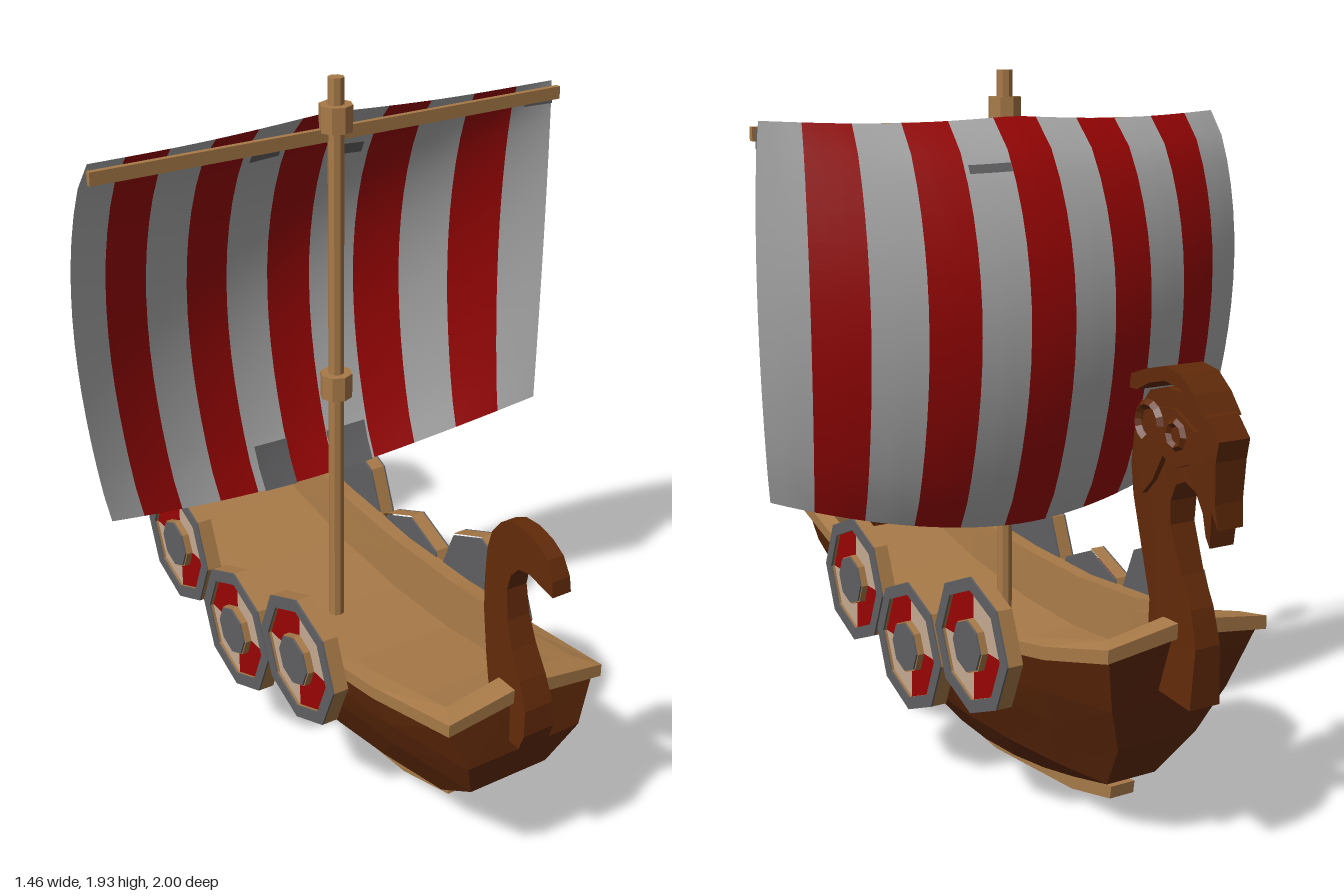
import * as THREE from 'three';

const mat = (name, color, extra = {}) => {
  const m = new THREE.MeshStandardMaterial({ color, ...extra });
  m.name = name;
  return m;
};

// Flat normals on every face
function flat(geo) {
  const g = geo.index ? geo.toNonIndexed() : geo;
  g.computeVertexNormals();
  return g;
}

// Side outline of [z, y] points, extruded across x with half-width hw(y)
function profile(points, hw) {
  const shape = new THREE.Shape(points.map(([z, y]) => new THREE.Vector2(z, y)));
  const g = new THREE.ExtrudeGeometry(shape, { depth: 2, bevelEnabled: false });
  g.translate(0, 0, -1).rotateY(-Math.PI / 2);
  const p = g.attributes.position;
  for (let i = 0; i < p.count; i++) p.setX(i, p.getX(i) * hw(p.getY(i)));
  return flat(g);
}

// Closed horizontal hull ring: widths, end positions and sheer heights
function ring({ w, we, zf, zb, yf, ym, yb, peak = 0 }) {
  const side = [1, 0.66, 0.3, -0.05, -0.4, -0.72, -1].map((s) => {
    const k = s * s;
    const ye = s > 0 ? yf : yb;
    return [w + (we - w) * k, ym + (ye - ym) * k, (zf + zb) / 2 + (s * (zf - zb)) / 2];
  });
  const mirrored = side.map(([x, y, z]) => [-x, y, z]).reverse();
  return [...side, [0, yb + peak, zb], ...mirrored, [0, yf + peak, zf]];
}

// Faces between successive rings, where keep(band, column) allows
function loft(rings, keep = () => true) {
  const pos = [];
  for (let r = 0; r < rings.length - 1; r++) {
    const [a, b] = [rings[r], rings[r + 1]];
    a.forEach((p, i) => {
      if (!keep(r, i)) return;
      const j = (i + 1) % a.length;
      pos.push(...p, ...a[j], ...b[j], ...p, ...b[j], ...b[i]);
    });
  }
  const g = new THREE.BufferGeometry();
  g.setAttribute('position', new THREE.Float32BufferAttribute(pos, 3));
  g.computeVertexNormals();
  return g;
}

export function createModel() {
  const hullWood = mat('dark wood', 0x622a09);
  const tan = mat('light wood', 0xa87a48);
  const cloth = mat('pale cloth', 0xacacac, { side: THREE.DoubleSide });
  const redCloth = mat('red cloth', 0x9b0404, { side: THREE.DoubleSide });
  const wornCloth = mat('worn grey cloth', 0x626264, { side: THREE.DoubleSide });
  const redPaint = mat('red paint', 0x9b0404);
  const cream = mat('cream paint', 0xc6aa92);
  const iron = mat('iron grey', 0x606063);

  const model = new THREE.Group();
  const ship = new THREE.Group();
  ship.name = 'ship';
  ship.position.x = -0.02;
  model.add(ship);
  const add = (name, geo, material, parent = ship) => {
    const m = new THREE.Mesh(geo, material);
    m.name = name;
    parent.add(m);
    return m;
  };

  // Hull planking, from keel to gunwale
  const hullRings = [
    { w: 0, we: 0, zf: 0.4, zb: -0.38, yf: 0.07, ym: 0.037, yb: 0.07 },
    { w: 0.075, we: 0.04, zf: 0.44, zb: -0.41, yf: 0.075, ym: 0.04, yb: 0.075 },
    { w: 0.15, we: 0.075, zf: 0.66, zb: -0.62, yf: 0.15, ym: 0.14, yb: 0.145 },
    { w: 0.228, we: 0.12, zf: 0.845, zb: -0.73, yf: 0.29, ym: 0.3, yb: 0.29 },
    { w: 0.255, we: 0.175, zf: 0.9, zb: -0.78, yf: 0.42, ym: 0.38, yb: 0.42 },
    { w: 0.272, we: 0.222, zf: 0.885, zb: -0.83, yf: 0.55, ym: 0.45, yb: 0.58, peak: 0.03 },
  ].map(ring);
  const isForefoot = (band, column) => column >= 14 && band >= 1 && band <= 2;
  add('hull', loft(hullRings, (r, i) => !isForefoot(r, i)), hullWood);
  add('forefootPanel', loft(hullRings, isForefoot), tan);

  // Gunwale rim, inner walls and deck in one run
  const deck = { w: 0.224, we: 0.184, zf: 0.825, zb: -0.768, yf: 0.475, ym: 0.33, yb: 0.5 };
  const rim = [
    hullRings[5],
    ...[
      { w: 0.284, we: 0.238, zf: 0.9, zb: -0.85, yf: 0.545, ym: 0.445, yb: 0.58, peak: 0.03 },
      { w: 0.284, we: 0.238, zf: 0.9, zb: -0.85, yf: 0.58, ym: 0.48, yb: 0.615, peak: 0.035 },
      { w: 0.235, we: 0.2, zf: 0.835, zb: -0.79, yf: 0.58, ym: 0.48, yb: 0.615, peak: 0.035 },
      { w: 0.232, we: 0.194, zf: 0.832, zb: -0.78, yf: 0.54, ym: 0.44, yb: 0.58, peak: 0.03 },
      deck,
      { ...deck, w: 0, we: 0 },
    ].map(ring),
  ];
  add('gunwaleAndDeck', loft(rim), tan);

  // Keel strip
  add('keel', profile([
    [0.64, 0.105], [0.635, 0.14], [0.43, 0.085], [0, 0.045], [-0.41, 0.085], [-0.585, 0.115],
    [-0.58, 0.08], [-0.4, 0.035], [0, 0], [0.43, 0.04],
  ], () => 0.037), tan);

  // Curled stern post
  add('curledPost', profile([
    [1, 0.925], [0.995, 0.965], [0.97, 1.01], [0.93, 1.035], [0.88, 1.048], [0.83, 1.045],
    [0.79, 1.025], [0.76, 0.985], [0.748, 0.935], [0.748, 0.85], [0.755, 0.765], [0.78, 0.64],
    [0.8, 0.56], [0.8, 0.455], [0.935, 0.455], [0.95, 0.5], [0.945, 0.57], [0.915, 0.64],
    [0.875, 0.71], [0.848, 0.78], [0.835, 0.86], [0.845, 0.905], [0.87, 0.935], [0.91, 0.943],
  ], (y) => THREE.MathUtils.mapLinear(y, 0.45, 1.05, 0.048, 0.022)), hullWood);

  // Dragon neck and head with an open jaw
  const dragon = new THREE.Group();
  dragon.name = 'dragonPost';
  ship.add(dragon);
  add('neckAndHead', profile([
    [-0.79, 0.455], [-0.77, 0.56], [-0.73, 0.61], [-0.73, 0.69], [-0.695, 0.8], [-0.66, 0.92],
    [-0.655, 1], [-0.668, 1.08], [-0.695, 1.15], [-0.73, 1.195], [-0.8, 1.215], [-0.88, 1.205],
    [-0.95, 1.17], [-0.995, 1.12], [-0.985, 1.07], [-0.982, 0.97], [-0.99, 0.91], [-0.968, 0.95],
    [-0.96, 0.86], [-0.945, 0.885], [-0.935, 0.94], [-0.91, 0.985], [-0.87, 1], [-0.835, 0.985],
    [-0.812, 0.94], [-0.81, 0.88], [-0.855, 0.765], [-0.895, 0.69], [-0.92, 0.6], [-0.915, 0.445],
  ], (y) => 0.045 - 0.012 * Math.sin(Math.PI * THREE.MathUtils.clamp((y - 0.45) / 0.6, 0, 1))), hullWood, dragon);

  // Crest, cheeks and eyes
  add('crest', profile([
    [-0.66, 1.19], [-0.665, 1.225], [-0.72, 1.245], [-0.8, 1.265], [-0.86, 1.255], [-0.91, 1.215],
    [-0.95, 1.165], [-0.9, 1.19], [-0.86, 1.22], [-0.8, 1.23], [-0.74, 1.215], [-0.69, 1.19],
  ], () => 0.055), hullWood, dragon);
  for (const s of [-1, 1]) {
    const cheek = add('cheek', profile([
      [-0.69, 1.02], [-0.7, 1.1], [-0.75, 1.16], [-0.84, 1.17], [-0.92, 1.13], [-0.96, 1.06],
      [-0.9, 1.05], [-0.85, 1.03], [-0.8, 1.05], [-0.76, 0.98], [-0.72, 0.94],
    ], () => 0.01), hullWood, dragon);
    cheek.position.x = s * 0.046;
    const eye = add('eyeRing', flat(new THREE.TorusGeometry(0.03, 0.01, 4, 8)), hullWood, dragon);
    eye.rotation.y = Math.PI / 2;
    eye.position.set(s * 0.056, 1.11, -0.85);
    const curl = add('earCurl', flat(new THREE.TorusGeometry(0.045, 0.012, 4, 10, 4.4)), hullWood, dragon);
    curl.rotation.y = Math.PI / 2;
    curl.position.set(s * 0.056, 1.12, -0.745);
  }

  // Mast, collars and yard
  const rod = (name, r, y0, y1) => {
    const g = flat(new THREE.CylinderGeometry(r, r, y1 - y0, 8));
    add(name, g, tan).position.set(0, (y0 + y1) / 2, 0.015);
  };
  rod('mast', 0.022, 0.3, 1.93);
  rod('upperCollar', 0.045, 1.79, 1.86);
  rod('lowerCollar', 0.045, 1.04, 1.11);
  add('yard', new THREE.BoxGeometry(1.42, 0.035, 0.016), tan, model).position.set(0.005, 1.78, 0.004);

  // Billowing sail, fullest above its middle
  const sail = new THREE.Group();
  sail.name = 'sail';
  model.add(sail);
  const sailPoint = (u, v) => {
    const bulge = Math.max(0, Math.sin(Math.PI * v ** 0.85)) ** 0.8;
    const a = Math.abs(u);
    const centre = -0.07 - 0.06 * v - 0.175 * bulge;
    const edge = -0.008 - (0.06 - 0.03 * u) * bulge;
    const top = 1.812 - 0.012 * Math.sin(Math.PI * a);
    const bottom = 0.712 + 0.128 * a ** 1.8;
    return [u * (0.7 + 0.03 * bulge), top + (bottom - top) * v, edge + (centre - edge) * (1 - a ** 1.9)];
  };
  const sailPiece = (name, material, u0, u1, v0, v1, rows, offset = 0) => {
    const g = new THREE.PlaneGeometry(1, 1, 3, rows);
    const { position: p, uv } = g.attributes;
    for (let k = 0; k < p.count; k++) {
      const [x, y, z] = sailPoint(u0 + (u1 - u0) * uv.getX(k), v1 + (v0 - v1) * uv.getY(k));
      p.setXYZ(k, x, y, z + offset);
    }
    g.computeVertexNormals();
    add(name, g, material, sail);
  };

  // One curved strip for each stripe
  const bounds = [-1, -0.845, -0.66, -0.47, -0.283, -0.094, 0.094, 0.283, 0.47, 0.66, 0.845, 1];
  for (let i = 0; i < 11; i++) {
    const red = i % 2 === 1;
    sailPiece(red ? 'redStripe' : 'paleStripe', red ? redCloth : cloth, bounds[i], bounds[i + 1], 0, 1, 14);
  }

  // Worn patches on the pale cloth: u range, v range, offset
  for (const [u0, u1, v0, v1, offset] of [
    [-0.25, -0.094, 0.89, 1, 0.005], [0.094, 0.27, 0.9, 1, 0.005], [0.89, 1, 0.02, 0.07, 0.005],
    [-0.25, -0.12, 0.09, 0.11, 0.005], [0.12, 0.25, 0.11, 0.14, 0.005], [0.1, 0.27, 0.1, 0.12, -0.005],
  ]) sailPiece('wornPatch', wornCloth, u0, u1, v0, v1, 2, offset);

  // Octagonal shields with recessed quartered faces, three a side
  const disc = (r, x0, x1, start = 0, length = Math.PI * 2) => {
    const g = new THREE.CylinderGeometry(r, r, x1 - x0, Math.round((8 * length) / (Math.PI * 2)), 1, false, start, length);
    return flat(g.rotateZ(-Math.PI / 2).translate((x0 + x1) / 2, 0, 0));
  };
  const band = (outer, inner, x0, x1) => {
    const points = [[outer, x0], [outer, x1], [inner, x1], [inner, x0]].map((p) => new THREE.Vector2(...p));
    return flat(new THREE.LatheGeometry(points, 8).rotateZ(-Math.PI / 2));
  };
  for (const s of [-1, 1]) {
    for (const [z, y] of [[0.33, 0.47], [-0.01, 0.372], [-0.355, 0.485]]) {
      const shield = new THREE.Group();
      shield.name = 'shield';
      shield.position.set(0, y, z);
      shield.rotation.y = s > 0 ? 0 : Math.PI;
      ship.add(shield);
      add('shieldBack', disc(0.18, 0.278, 0.284), iron, shield);
      add('shieldBody', band(0.186, 0.15, 0.28, 0.322), tan, shield);
      add('shieldRim', band(0.186, 0.15, 0.322, 0.327), iron, shield);
      for (let k = 0; k < 4; k++) {
        const quarter = disc(0.152, 0.308, 0.315, (k * Math.PI) / 2, Math.PI / 2);
        add('shieldQuarter', quarter, k % 2 ? redPaint : cream, shield);
      }
      add('bossRing', disc(0.074, 0.313, 0.333), tan, shield);
      add('boss', disc(0.07, 0.331, 0.338), iron, shield);
    }
  }
  return model;
}
